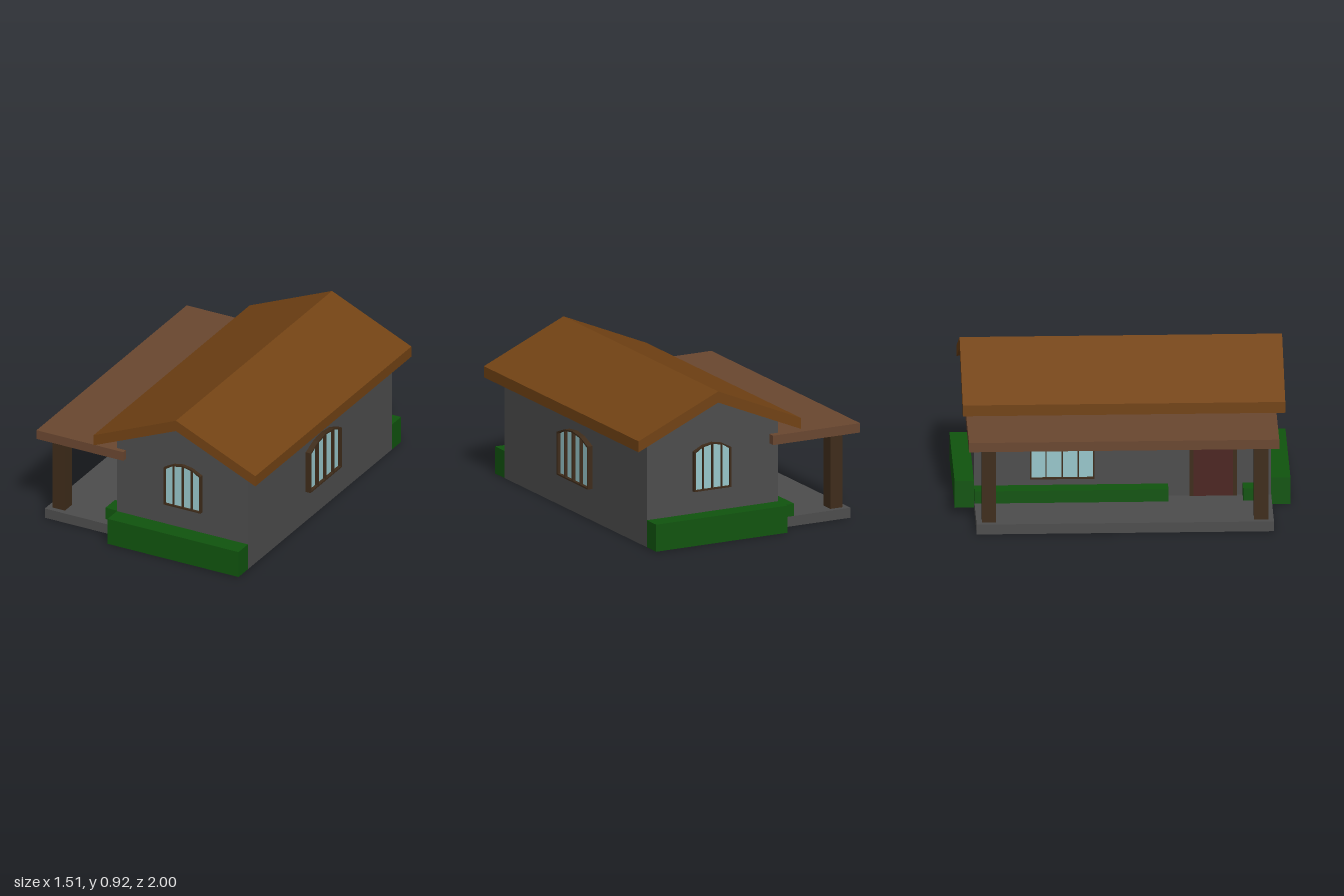
import * as THREE from 'three';

const mat = (color) => new THREE.MeshStandardMaterial({ color, flatShading: true });
const wallMat = mat(0x4d4d4d);
const roofMat = mat(0x734314);
const porchRoofMat = mat(0x6a4730);
const woodMat = mat(0x3f2c1a);
const hedgeMat = mat(0x10540e);
const glassMat = mat(0x99c8cc);
const doorMat = mat(0x4c2420);

// Box given by its min and max corners
function box(name, material, [x0, y0, z0], [x1, y1, z1]) {
  const mesh = new THREE.Mesh(new THREE.BoxGeometry(x1 - x0, y1 - y0, z1 - z0), material);
  mesh.position.set((x0 + x1) / 2, (y0 + y1) / 2, (z0 + z1) / 2);
  mesh.name = name;
  return mesh;
}

const polygon = (points) => new THREE.Shape(points.map(([x, y]) => new THREE.Vector2(x, y)));

// Front profile pulled along z from z0 to z1
function prism(name, material, points, z0, z1) {
  const geometry = new THREE.ExtrudeGeometry(polygon(points), { depth: z1 - z0, bevelEnabled: false });
  geometry.translate(0, 0, z0);
  const mesh = new THREE.Mesh(geometry, material);
  mesh.name = name;
  return mesh;
}

// Arched four-pane window, facing +z with its sill centred on the origin
function archedWindow(name, width, sideHeight, topHeight, depth) {
  const group = new THREE.Group();
  group.name = name;
  const half = width / 2;
  const rim = 0.009;
  const bar = 0.004;
  const top = (u) => sideHeight + (topHeight - sideHeight) * (1 - u * u);
  const steps = [1, 0.5, 0, -0.5, -1];
  const outline = [[-half, 0], [half, 0], ...steps.map((u) => [u * half, top(u)])];
  const frame = polygon(outline);
  for (let i = 0; i < 4; i++) {
    const u0 = -1 + i * 0.5;
    const u1 = u0 + 0.5;
    const x0 = u0 * half + (i === 0 ? rim : bar);
    const x1 = u1 * half - (i === 3 ? rim : bar);
    frame.holes.push(polygon([
      [x0, rim], [x0, top(u0) - rim], [x1, top(u1) - rim], [x1, rim],
    ]));
  }
  const frameMesh = new THREE.Mesh(
    new THREE.ExtrudeGeometry(frame, { depth, bevelEnabled: false }), woodMat);
  frameMesh.name = 'windowFrame';
  const inset = outline.map(([x, y]) => [x * 0.97, y * 0.96 + 0.004]);
  const glass = prism('windowGlass', glassMat, inset, 0, depth * 0.4);
  group.add(frameMesh, glass);
  return group;
}

export function createModel() {
  const model = new THREE.Group();
  model.name = 'cottage';

  // Gabled house body
  model.add(prism('houseBody', wallMat,
    [[-0.23, 0], [0.66, 0], [0.66, 0.664], [0.215, 0.85], [-0.23, 0.664]], -0.885, 0.885));

  // Main roof: a bent slab overhanging on all sides
  model.add(prism('mainRoof', roofMat, [
    [-0.345, 0.615], [0.215, 0.851], [0.755, 0.615],
    [0.755, 0.683], [0.215, 0.92], [-0.345, 0.683],
  ], -0.955, 0.965));

  // Porch floor, roof and posts
  model.add(box('porchFloor', wallMat, [-0.72, 0, -0.885], [-0.23, 0.062, 0.885]));
  model.add(box('porchRoof', porchRoofMat, [-0.76, 0.532, -0.932], [-0.17, 0.59, 0.915]));
  for (const z of [-0.81, 0.81]) {
    model.add(box('porchPost', woodMat, [-0.685, 0.062, z - 0.042], [-0.602, 0.532, z + 0.042]));
  }

  // Hedges along both gables and beside the door
  for (const [z0, z1] of [[-1, -0.885], [0.885, 1]]) {
    model.add(box('gableHedge', hedgeMat, [-0.23, 0, z0], [0.66, 0.167, z1]));
  }
  for (const [z0, z1] of [[-0.885, 0.27], [0.715, 0.83]]) {
    model.add(box('porchHedge', hedgeMat, [-0.338, 0.062, z0], [-0.23, 0.138, z1]));
  }

  // Door with its frame
  model.add(box('door', doorMat, [-0.242, 0.062, 0.42], [-0.225, 0.46, 0.66]));
  for (const z of [0.41, 0.67]) {
    model.add(box('doorJamb', woodMat, [-0.247, 0.062, z - 0.012], [-0.225, 0.48, z + 0.012]));
  }
  model.add(box('doorLintel', woodMat, [-0.247, 0.456, 0.398], [-0.225, 0.48, 0.682]));

  // Windows: one on each wall
  const windows = [
    ['frontWindow', 0.25, 0.247, 0.29, 0.022, [0.225, 0.304, 0.885], 0],
    ['backWindow', 0.25, 0.247, 0.29, 0.022, [0.225, 0.304, -0.885], Math.PI],
    ['leftWindow', 0.385, 0.265, 0.315, 0.034, [0.66, 0.197, -0.018], Math.PI / 2],
    ['rightWindow', 0.385, 0.265, 0.32, 0.022, [-0.23, 0.18, -0.36], -Math.PI / 2],
  ];
  for (const [name, width, side, top, depth, position, turn] of windows) {
    const pane = archedWindow(name, width, side, top, depth);
    pane.position.set(...position);
    pane.rotation.y = turn;
    model.add(pane);
  }

  return model;
}
